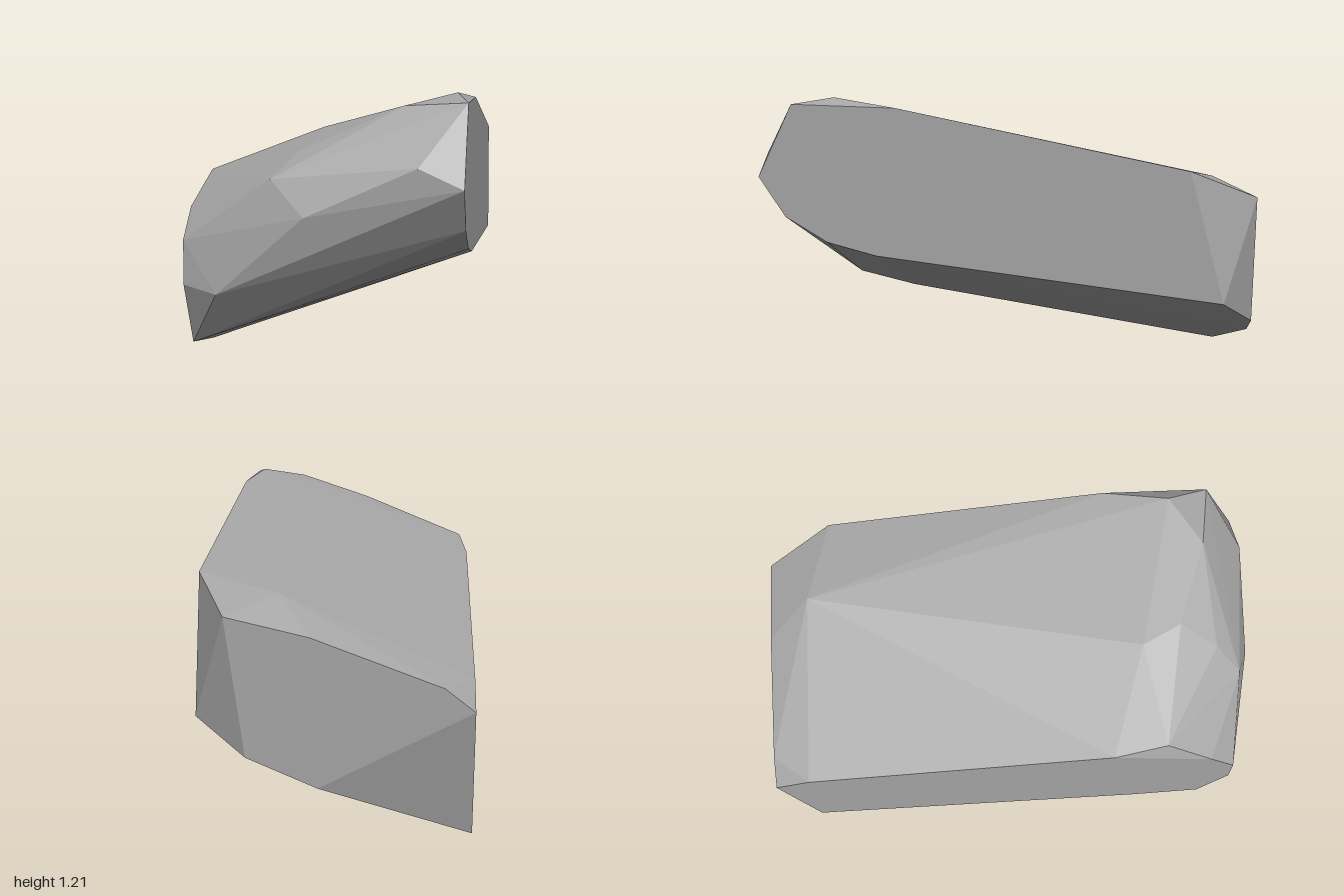
import * as THREE from 'three';
import { ConvexGeometry } from 'three/addons/geometries/ConvexGeometry.js';

// Outline of a flat side, listed as [y, z] at a fixed x
const side = (x, outline) => outline.map(([y, z]) => new THREE.Vector3(x, y, z));
const corners = (list) => list.map((p) => new THREE.Vector3(...p));

export function createModel() {
  const group = new THREE.Group();
  group.name = 'rock';
  const stone = new THREE.MeshStandardMaterial({ color: 0xa3a3a3 });
  stone.name = 'grey stone';

  // High flat side
  const highSide = side(0.51, [
    [0.945, -0.74], [1.17, 0.4], [1.18, 0.82], [0.89, 0.965],
    [0.73, 0.86], [0.63, 0.69], [0.58, 0.49], [0.43, -0.88],
  ]);

  // Low flat side
  const lowSide = side(-0.51, [
    [0, -0.88], [0.5, -1], [0.58, -0.85], [0.847, 0.42], [0.785, 0.82],
    [0.68, 0.925], [0.515, 0.935], [0.27, 0.835], [0.21, 0.57],
  ]);

  // Flat back end
  const back = corners([
    [0.05, 0.205, -1], [0.31, 0.315, -1], [0.38, 0.83, -1],
    [0.075, 0.76, -1], [-0.4, 0.585, -1],
  ]);

  // Chipped nose
  const nose = corners([
    [-0.05, 0.785, 1], [-0.38, 0.49, 0.97], [0.35, 0.965, 0.98],
    [-0.18, 0.912, 0.94], [-0.1, 1.0, 0.84],
  ]);

  // Sloping top
  const top = corners([
    [0.46, 1.205, 0.66], [0.28, 1.165, 0.79], [0.12, 1.1, 0.79],
    [-0.03, 1.075, 0.69], [-0.1, 1.037, 0.54], [-0.48, 0.9, 0.63],
    [0.2, 0.885, -0.83],
  ]);

  const geometry = new ConvexGeometry([...highSide, ...lowSide, ...back, ...nose, ...top]);
  const mesh = new THREE.Mesh(geometry, stone);
  mesh.name = 'boulder';
  group.add(mesh);
  return group;
}
